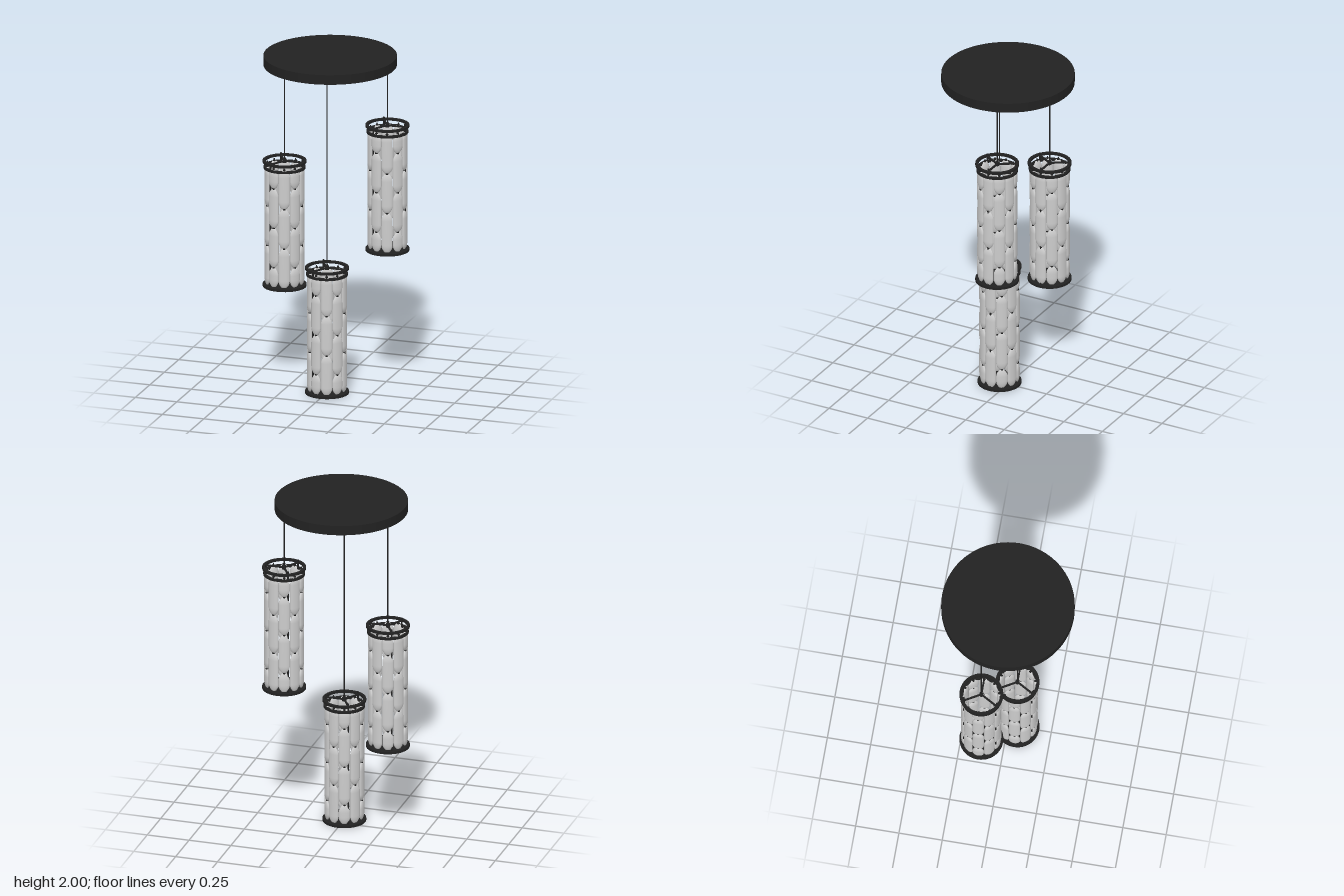
import * as THREE from 'three';

export function createModel() {
  const metal = new THREE.MeshStandardMaterial({ name: 'blackMetal', color: 0x222222 });
  const glass = new THREE.MeshStandardMaterial({ name: 'paleGlass', color: 0xcccccc });
  const model = new THREE.Group();
  model.name = 'clusterPendantLamp';

  const add = (parent, name, geometry, material, x = 0, y = 0, z = 0) => {
    const mesh = new THREE.Mesh(geometry, material);
    mesh.name = name;
    mesh.position.set(x, y, z);
    parent.add(mesh);
    return mesh;
  };
  // upright cylinder between two heights
  const post = (parent, name, r, y0, y1, x = 0, z = 0, sides = 10) =>
    add(parent, name, new THREE.CylinderGeometry(r, r, y1 - y0, sides), metal, x, (y0 + y1) / 2, z);

  // flat-section ring, centred on its own height
  const ringGeometry = (inner, outer, h) => new THREE.LatheGeometry([
    [inner, -h / 2], [outer, -h / 2], [outer, -h / 2], [outer, h / 2],
    [outer, h / 2], [inner, h / 2], [inner, h / 2], [inner, -h / 2],
  ].map(([r, y]) => new THREE.Vector2(r, y)), 48);

  // flattened glass bead with rounded shoulders
  const beadGeometry = (length) => {
    const h = length / 2 - 0.003;
    const half = [[0.001, 0], [0.013, 0], [0.019, 0.006], [0.027, 0.017], [0.032, 0.03], [0.033, 0.042]];
    const pts = [
      ...half.map(([r, d]) => new THREE.Vector2(r, d - h)),
      ...half.slice().reverse().map(([r, d]) => new THREE.Vector2(r, h - d)),
    ];
    return new THREE.LatheGeometry(pts, 14).scale(1, 1, 0.4);
  };

  const bottom = 0.016, top = 0.722, pitch = (top - bottom) / 3;
  const fullBead = beadGeometry(pitch), halfBead = beadGeometry(pitch / 2);
  const upperRing = ringGeometry(0.108, 0.125, 0.013);
  const lowerRing = ringGeometry(0.104, 0.119, 0.014);
  const linkGeometry = new THREE.SphereGeometry(0.008, 8, 6);
  const beadRadius = 0.103;

  function pendant(name, x, y, z) {
    const g = new THREE.Group();
    g.name = name;
    g.position.set(x, y, z);
    model.add(g);

    // frame
    post(g, 'baseDisc', 0.125, 0, 0.014, 0, 0, 48);
    add(g, 'lowerRing', lowerRing, metal, 0, 0.71, 0);
    add(g, 'upperRing', upperRing, metal, 0, 0.745, 0);
    post(g, 'hub', 0.012, 0.735, 0.757);
    for (let i = 0; i < 3; i++) {
      const a = i * Math.PI * 2 / 3, c = Math.cos(a), s = Math.sin(a);
      post(g, 'frameRod', 0.005, 0.01, 0.762, 0.106 * c, 0.106 * s);
      const spoke = add(g, 'spoke', new THREE.BoxGeometry(0.112, 0.008, 0.01), metal, 0.056 * c, 0.745, 0.056 * s);
      spoke.rotation.y = -a;
    }

    // ten strings of beads, every second one shifted by half a bead
    for (let i = 0; i < 10; i++) {
      const string = new THREE.Group();
      string.name = 'beadString';
      string.rotation.y = i * Math.PI / 5 + Math.PI / 2;
      g.add(string);
      const lengths = i % 2 ? [0.5, 1, 1, 0.5] : [1, 1, 1];
      let h = bottom;
      for (const n of lengths) {
        add(string, 'bead', n === 1 ? fullBead : halfBead, glass, 0, h + n * pitch / 2, beadRadius);
        h += n * pitch;
        add(string, 'link', linkGeometry, metal, 0, h, beadRadius);
      }
      post(string, 'hook', 0.003, top, 0.735, 0, beadRadius, 6);
    }

    // suspension
    post(model, 'cord', 0.004, y + 0.745, 1.95, x, z, 8);
    post(model, 'cordGrip', 0.009, 1.915, 1.95, x, z, 12);
  }

  post(model, 'canopy', 0.38, 1.943, 2, 0, 0, 72);
  pendant('leftPendant', 0.31, 0.838, -0.1);
  pendant('rightPendant', -0.31, 0.56, -0.1);
  pendant('centrePendant', 0, 0, 0.055);
  return model;
}
